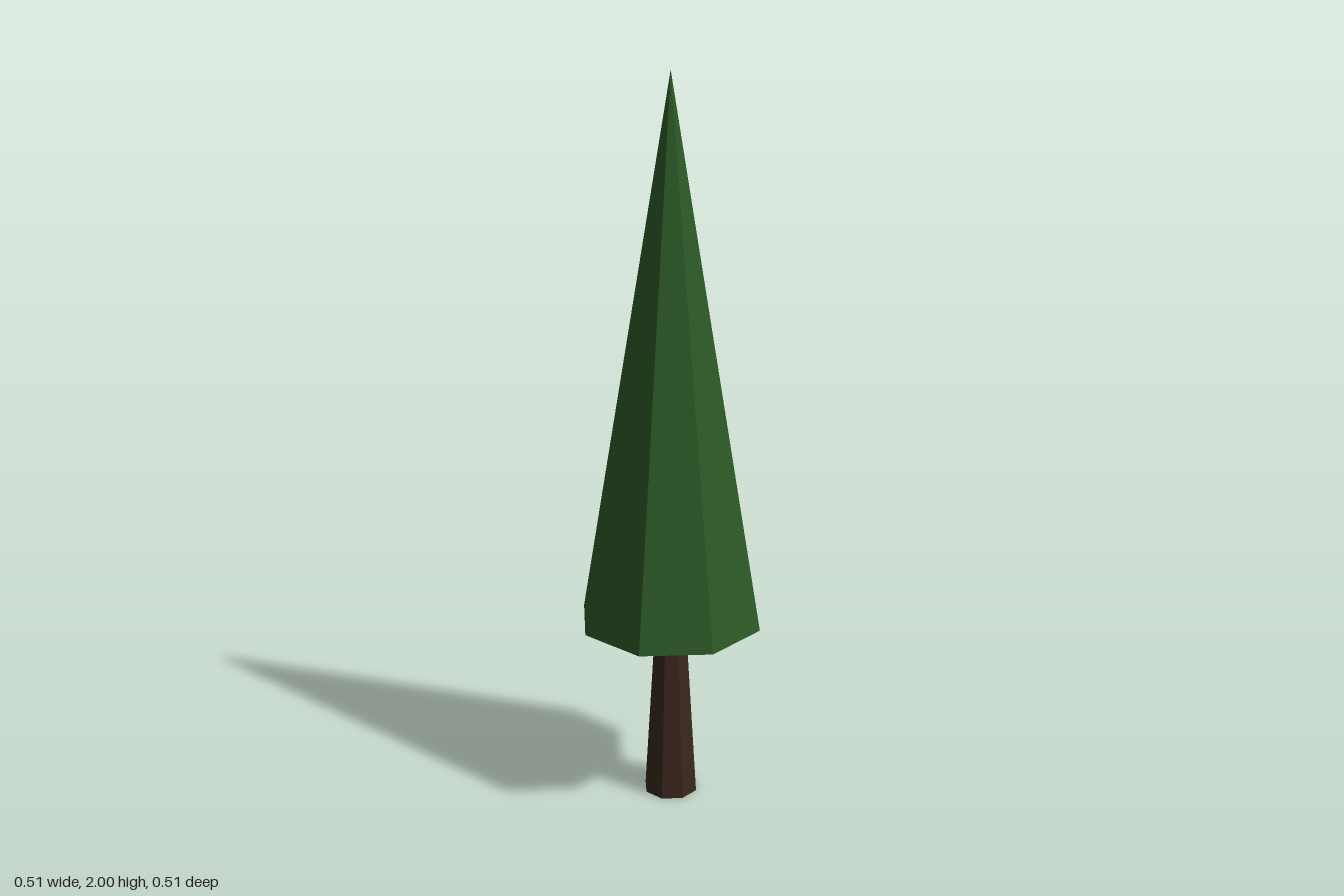
import * as THREE from 'three';

const SIDES = 8;

function faceted(color) {
  return new THREE.MeshStandardMaterial({ color, flatShading: true });
}

export function createModel() {
  const tree = new THREE.Group();
  tree.name = 'tree';

  // Tapered trunk, its top hidden inside the foliage
  const trunkHeight = 0.6;
  const trunk = new THREE.Mesh(
    new THREE.CylinderGeometry(0.038, 0.075, trunkHeight, SIDES),
    faceted(0x3a271c)
  );
  trunk.name = 'trunk';
  trunk.position.y = trunkHeight / 2;
  tree.add(trunk);

  // Foliage cone with a slightly hollowed underside
  const profile = [[0, 0.565], [0.253, 0.52], [0, 2]];
  const foliage = new THREE.Mesh(
    new THREE.LatheGeometry(profile.map(([r, y]) => new THREE.Vector2(r, y)), SIDES),
    faceted(0x2d5a27)
  );
  foliage.name = 'foliage';
  tree.add(foliage);

  return tree;
}
